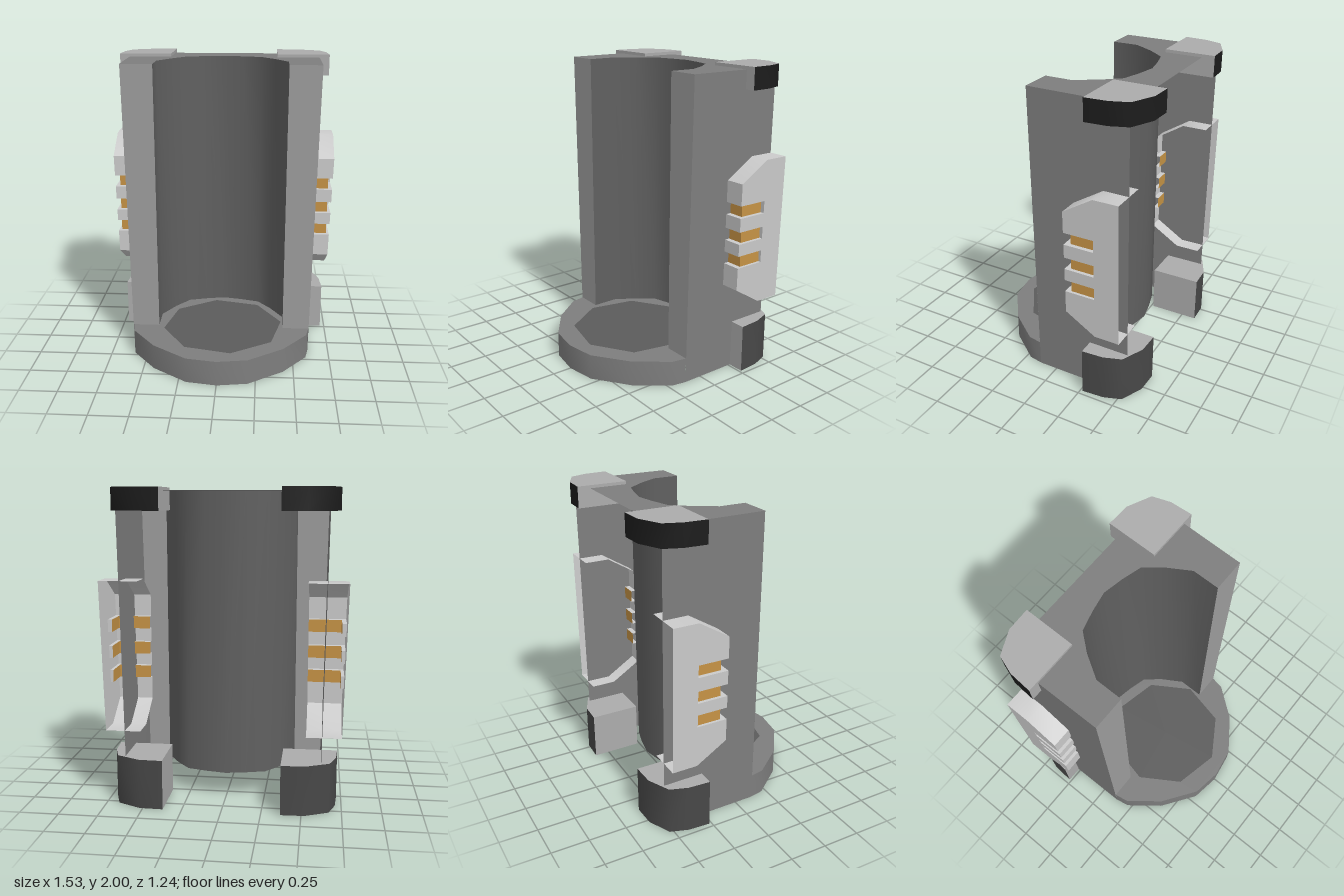
import * as THREE from 'three';
import { toCreasedNormals } from 'three/addons/utils/BufferGeometryUtils.js';

const paint = color => new THREE.MeshStandardMaterial({ color, side: THREE.DoubleSide });
const shellGrey = paint(0x7e7e7e);
const edgeGrey = paint(0x9c9c9c);
const channelGrey = paint(0x606060);
const padGrey = paint(0x5c5c5c);
const clipGrey = paint(0xbebebe);
const cornerGrey = paint(0xacacac);
const capDark = paint(0x1c1c1c);
const footDark = paint(0x484848);
const gold = paint(0xc69345);

const TOP = 1.98, FLOOR = 0.17;

// Sheet joining two rails of [x, y, z] points
function ribbon(a, b) {
  const pos = [];
  for (let i = 0; i < a.length - 1; i++) {
    pos.push(...a[i], ...a[i + 1], ...b[i + 1], ...a[i], ...b[i + 1], ...b[i]);
  }
  const g = new THREE.BufferGeometry();
  g.setAttribute('position', new THREE.Float32BufferAttribute(pos, 3));
  return toCreasedNormals(g, 0.85);
}

// Upright wall along an [x, z] path, optionally narrower at the bottom
const wall = (path, y0, y1, taper = 1) => ribbon(
  path.map(([x, z]) => [x * taper, y0, z]),
  path.map(([x, z]) => [x, y1, z]));

// Level sheet filling an [x, z] outline
function sheet(outline, y) {
  const shape = new THREE.Shape(outline.map(([x, z]) => new THREE.Vector2(x, -z)));
  return new THREE.ShapeGeometry(shape).rotateX(-Math.PI / 2).translate(0, y, 0);
}

const mirrored = (half) => [...half, ...half.filter(p => p[0] !== 0).reverse().map(([x, z]) => [-x, z])];

function add(parent, name, geometry, material) {
  const mesh = new THREE.Mesh(geometry, material);
  mesh.name = name;
  parent.add(mesh);
  return mesh;
}

// Side clip: open-backed shell with three shallow slots lined by contacts
function sideClip() {
  const group = new THREE.Group();
  group.name = 'sideClip';
  const front = -0.17, contactZ = -0.205, slotEnd = -0.37, innerX = 0.52, contactX = 0.73, h = 0.04;
  const slots = [1.13, 0.96, 0.80];
  const outerX = y => 0.765 - 0.025 * (1.435 - y);
  const strip = (path, x0, x1) => ribbon(
    path.map(([z, y]) => [x0, y, z]),
    path.map(([z, y]) => [x1 ?? outerX(y), y, z]));

  // Rim in pieces between the slots
  let piece = [[-0.535, 1.435], [slotEnd, 1.435], [front, 1.31]];
  const outline = [...piece];
  for (const y of slots) {
    const notch = [[front, y + h], [slotEnd, y + h], [slotEnd, y - h], [front, y - h]];
    add(group, 'clipRim', strip([...piece, notch[0]], innerX), clipGrey);
    add(group, 'slotWall', strip(notch, contactX), clipGrey);
    for (const edge of [y + h, y - h]) {
      add(group, 'slotEdge', strip([[front, edge], [contactZ, edge]], innerX, contactX), clipGrey);
    }
    add(group, 'contact', wall([[innerX, contactZ], [contactX, contactZ], [contactX, slotEnd]], y - h, y + h), gold);
    outline.push(...notch);
    piece = [notch[3]];
  }
  const tail = [[front, 0.61], [slotEnd, 0.485], [-0.535, 0.485]];
  outline.push(...tail);
  add(group, 'clipRim', strip([...piece, ...tail], innerX), clipGrey);

  // Slightly leaning outer plate
  const plate = new THREE.ShapeGeometry(
    new THREE.Shape(outline.map(([z, y]) => new THREE.Vector2(-z, y)))).rotateY(Math.PI / 2);
  const p = plate.attributes.position;
  for (let i = 0; i < p.count; i++) p.setX(i, outerX(p.getY(i)));
  plate.computeVertexNormals();
  add(group, 'clipPlate', plate, clipGrey);
  return group;
}

// Corner block: dark rounded outside, plain inner faces, sheets at the given heights
function cornerBlock(name, outline, y0, y1, levels, dark) {
  const group = new THREE.Group();
  group.name = name;
  add(group, 'roundedSide', wall(outline.slice(1), y0, y1), dark);
  add(group, 'innerSide', wall([outline[outline.length - 1], outline[0], outline[1]], y0, y1), cornerGrey);
  for (const y of levels) add(group, 'levelFace', sheet(outline, y), cornerGrey);
  return group;
}

const corner = [[0.36, -0.285], [0.36, -0.62], [0.51, -0.615], [0.66, -0.545], [0.70, -0.43], [0.71, -0.285]];

function makeSide() {
  const side = new THREE.Group();

  // Outer wall and front edge of the shell
  add(side, 'sideWall', wall([[0.645, -0.535], [0.64, 0.125]], 0, TOP, 0.95), shellGrey);
  add(side, 'frontEdge', ribbon(
    [[0.43, FLOOR, 0.125], [0.611, FLOOR, 0.125]], [[0.43, TOP, 0.125], [0.64, TOP, 0.125]]), edgeGrey);

  side.add(sideClip());
  side.add(cornerBlock('topCorner', corner, 1.86, 2, [1.86, 2], capDark));
  // Taller foot, hollow underneath
  const foot = corner.map(([x, z]) => [x + 0.01, z + 0.02]);
  side.add(cornerBlock('bottomCorner', foot, 0, 0.32, [0.32], footDark));
  return side;
}

export function createModel() {
  const model = new THREE.Group();

  // Channel running up the middle
  const channel = mirrored([[0.43, 0.125], [0.43, -0.05], [0.345, -0.19], [0.255, -0.30], [0.13, -0.335], [0, -0.36]]);
  const channelBack = channel.slice().reverse();
  add(model, 'channel', wall(channel, FLOOR, TOP), channelGrey);

  // Top face around the channel
  add(model, 'topFace', sheet([[-0.645, -0.535], [-0.64, 0.125], ...channelBack, [0.64, 0.125], [0.645, -0.535]], TOP), shellGrey);

  // Rounded base, open underneath
  const rim = mirrored([[0.608, 0.125], [0.59, 0.22], [0.43, 0.425], [0.20, 0.588], [0, 0.62]]);
  add(model, 'baseRim', wall(rim, 0, FLOOR), shellGrey);
  add(model, 'baseFloor', sheet([...rim, ...channelBack], FLOOR), shellGrey);

  // Eight-sided pad on the floor
  const pad = add(model, 'floorPad', new THREE.CircleGeometry(0.41, 8).rotateX(-Math.PI / 2), padGrey);
  pad.position.set(0.015, FLOOR + 0.006, 0.11);
  pad.rotation.y = 0.17;

  for (const s of [1, -1]) {
    const side = makeSide();
    side.name = s > 0 ? 'leftSide' : 'rightSide';
    side.scale.x = s;
    model.add(side);
  }
  return model;
}
